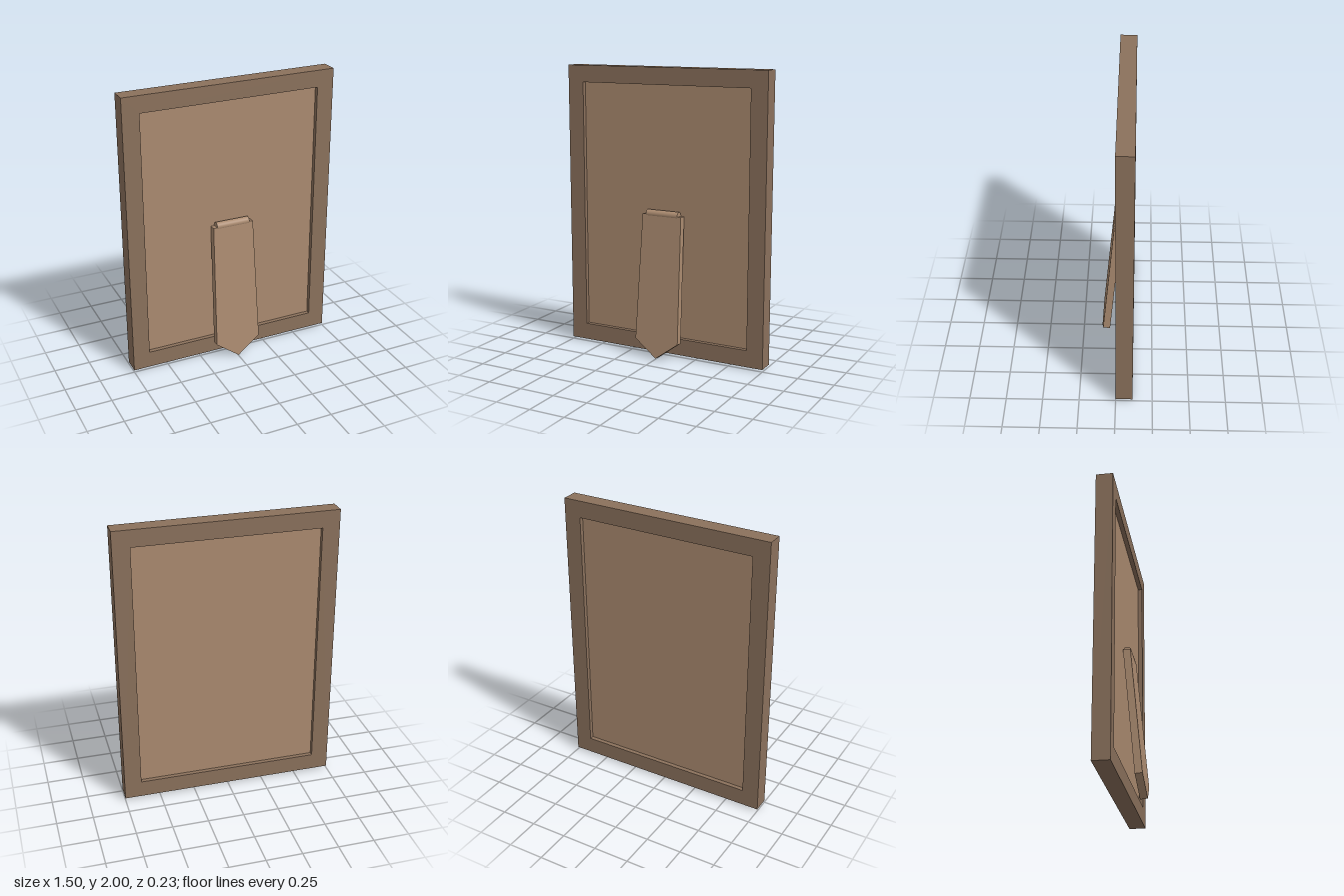
import * as THREE from 'three';

const darkWood = new THREE.MeshStandardMaterial({ color: 0x8b715c });
const lightWood = new THREE.MeshStandardMaterial({ color: 0xab8b70 });

function addMesh(parent, name, geometry, material) {
  const mesh = new THREE.Mesh(geometry, material);
  mesh.name = name;
  parent.add(mesh);
  return mesh;
}

function polygon(points) {
  return points.map(([x, y]) => new THREE.Vector2(x, y));
}

function rectangle(halfWidth, bottom, top) {
  return polygon([[-halfWidth, bottom], [halfWidth, bottom], [halfWidth, top], [-halfWidth, top]]);
}

export function createModel() {
  const model = new THREE.Group();
  model.name = 'pictureFrame';

  // Rectangular surround with an open middle
  const depth = 0.115;
  const outline = new THREE.Shape(rectangle(0.75, 0.015, 2));
  outline.holes.push(new THREE.Path(rectangle(0.632, 0.132, 1.883)));
  const surround = addMesh(model, 'surround',
    new THREE.ExtrudeGeometry(outline, { depth, bevelEnabled: false }), darkWood);
  surround.position.z = -depth;

  // Panel recessed on both sides
  const panel = addMesh(model, 'panel', new THREE.BoxGeometry(1.264, 1.751, 0.055), lightWood);
  panel.position.set(0, 1.0075, -depth / 2);

  // Stand swings out from its hinge
  const stand = new THREE.Group();
  stand.name = 'stand';
  stand.position.y = 1;
  stand.rotation.x = -0.0906;
  model.add(stand);

  // Widening strut with a pointed foot
  const thickness = 0.05;
  const strutShape = new THREE.Shape(polygon([
    [-0.147, 0], [-0.164, -0.88], [0, -1.0018], [0.164, -0.88], [0.147, 0],
  ]));
  const strut = addMesh(stand, 'strut',
    new THREE.ExtrudeGeometry(strutShape, { depth: thickness, bevelEnabled: false }), lightWood);
  strut.position.z = -thickness / 2;

  // Hinge barrel along the top of the strut
  const hinge = addMesh(stand, 'hinge', new THREE.CylinderGeometry(0.028, 0.028, 0.24, 24), lightWood);
  hinge.rotation.z = Math.PI / 2;
  hinge.position.y = 0.003;

  return model;
}
